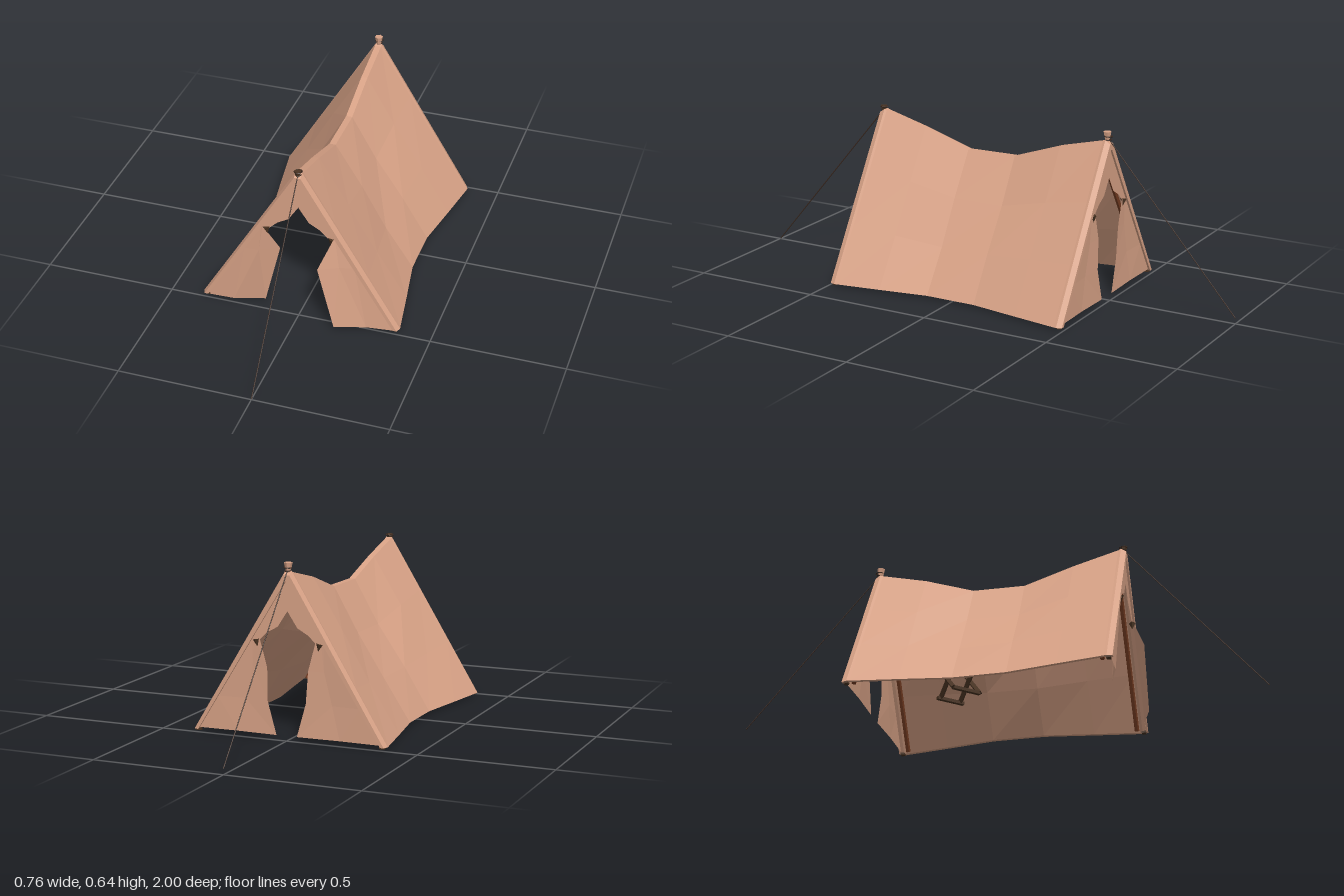
import * as THREE from 'three';

const mat = (color, side = THREE.FrontSide) => new THREE.MeshStandardMaterial({ color, flatShading: true, side });
const cloth = mat(0xd8a286);
const clothThin = mat(0xd8a286, THREE.DoubleSide);
const wood = mat(0x4a3423);
const poleWood = mat(0x7a4024);
const rope = mat(0x3d2a20);

function add(parent, name, geometry, material, x = 0, y = 0, z = 0) {
  const mesh = new THREE.Mesh(geometry, material);
  mesh.name = name;
  mesh.position.set(x, y, z);
  parent.add(mesh);
  return mesh;
}

// Round or square rod between two points
function rod(parent, name, a, b, r, material, sides = 6) {
  const from = new THREE.Vector3(...a), to = new THREE.Vector3(...b);
  const dir = to.clone().sub(from);
  const mesh = add(parent, name, new THREE.CylinderGeometry(r, r, dir.length(), sides), material);
  mesh.position.copy(from).add(to).multiplyScalar(0.5);
  mesh.quaternion.setFromUnitVectors(new THREE.Vector3(0, 1, 0), dir.normalize());
}

function indexed(points, index) {
  const g = new THREE.BufferGeometry();
  g.setAttribute('position', new THREE.Float32BufferAttribute(points, 3));
  g.setIndex(index);
  g.computeVertexNormals();
  return g;
}

// Sagging roof: closed inverted-V sections lofted from front to back
function roofGeometry() {
  // z, ridge height, half width, outer inset, inner depth
  const stations = [
    [0.495, 0.61, 0.379, 0.006, 0.018], [0.475, 0.612, 0.38, 0, 0.018],
    [0.465, 0.607, 0.378, 0, 0.012], [0.29, 0.56, 0.35, 0, 0.012],
    [0.1, 0.5, 0.318, 0, 0.012], [-0.1, 0.502, 0.318, 0, 0.012],
    [-0.29, 0.566, 0.35, 0, 0.012], [-0.465, 0.608, 0.378, 0, 0.012],
    [-0.475, 0.614, 0.38, 0, 0.018], [-0.495, 0.611, 0.379, 0.006, 0.018],
  ];
  const points = [], index = [], rows = 3;
  for (const [z, h, w, inset, depth] of stations) {
    const half = (side, d, u) => {
      const t = u / rows;
      // sag with slight unevenness, fading at the hems
      const uneven = 0.006 + 0.008 * Math.sin(9 * z + 2.5 * u + side);
      const sag = uneven * Math.sin(Math.PI * t) * Math.max(0, 1 - Math.abs(z) / 0.465);
      const x = THREE.MathUtils.lerp(d > 0.011 ? 0.004 : 0.012, w - d * 1.18, t) - sag * 0.85;
      points.push(side * x, THREE.MathUtils.lerp(h - d * 1.87, 0.01, t) - sag * 0.53, z);
    };
    for (let u = rows; u >= 0; u--) half(1, inset, u);
    for (let u = 0; u <= rows; u++) half(-1, inset, u);
    for (let u = rows; u >= 0; u--) half(-1, depth, u);
    for (let u = 0; u <= rows; u++) half(1, depth, u);
  }
  const n = 4 * (rows + 1), last = (stations.length - 1) * n;
  for (let i = 0; i < stations.length - 1; i++) {
    for (let j = 0; j < n; j++) {
      const k = (j + 1) % n;
      const a = i * n + j, b = i * n + k, c = b + n, d = a + n;
      index.push(a, d, c, a, c, b);
    }
  }
  // end caps join outer and inner edges
  for (let j = 0; j < n / 2 - 1; j++) {
    const a = j, b = j + 1, c = n - 2 - j, d = n - 1 - j;
    index.push(a, b, c, a, c, d);
    index.push(last + a, last + c, last + b, last + a, last + d, last + c);
  }
  return indexed(points, index);
}

// Cloth filling the peak above the doorway
function gableGeometry() {
  const lower = [[0.142, 0.36], [0.11, 0.36], [0.08, 0.388], [0.038, 0.412], [0, 0.47]];
  const right = lower.slice(0, 4).reverse().map(([x, y]) => [-x, y]);
  const outline = [[0, 0.585], ...lower, ...right];
  return new THREE.ShapeGeometry(new THREE.Shape(outline.map(([x, y]) => new THREE.Vector2(x, y))));
}

// Door flap: each row is [y, xs, zs] running from the roof edge to the free edge
function flapGeometry(side, rows) {
  const points = [], index = [], n = rows[0][1].length;
  for (const [y, xs, zs] of rows) xs.forEach((x, i) => points.push(side * x, y, zs[i]));
  for (let r = 0; r < rows.length - 1; r++) {
    for (let i = 0; i < n - 1; i++) {
      const a = r * n + i, b = a + 1, c = b + n, d = a + n;
      index.push(a, d, c, a, c, b);
    }
  }
  return indexed(points, index);
}

function frontRows(foldZ, freeZ) {
  return [
    [0.362, [0.142, 0.137, 0.132], [0.488, 0.489, 0.492]],
    [0.25, [0.21, 0.155, 0.085], [0.488, foldZ, freeZ]],
    [0.006, [0.361, 0.258, 0.146], [0.488, foldZ, freeZ]],
  ];
}

function backRows(shift) {
  return [
    [0.362, [0.142, 0.13, 0.108], [-0.487, -0.487, -0.488]],
    [0.26, [0.205, 0.14, 0.08], [-0.487, -0.484, -0.488]],
    [0.14, [0.28, 0.17, 0.08 - shift], [-0.487, -0.482, -0.487]],
    [0.016, [0.357, 0.2, 0.045 - shift], [-0.487, -0.484, -0.488]],
  ];
}

// Folding stool with crossed legs and a slatted seat, turned towards the corner
function createStool() {
  const stool = new THREE.Group();
  stool.name = 'foldingStool';
  for (const s of [-1, 1]) {
    const z = s * 0.055;
    rod(stool, 'crossedLeg', [-0.06, 0.008, z], [0.05, 0.122, z], 0.01, wood, 4);
    rod(stool, 'crossedLeg', [0.06, 0.008, z * 0.75], [-0.05, 0.122, z * 0.75], 0.01, wood, 4);
    add(stool, 'footRung', new THREE.BoxGeometry(0.014, 0.012, 0.11), wood, s * 0.058, 0.008, 0);
    add(stool, 'seatRail', new THREE.BoxGeometry(0.1, 0.012, 0.012), wood, 0, 0.119, z);
  }
  for (let i = 0; i < 4; i++) {
    add(stool, 'seatSlat', new THREE.BoxGeometry(0.022, 0.012, 0.16), wood, -0.041 + i * 0.0273, 0.129, 0);
  }
  stool.position.set(-0.128, 0.013, -0.125);
  stool.rotation.y = Math.PI / 4;
  return stool;
}

export function createModel() {
  const tent = new THREE.Group();
  tent.name = 'tent';
  add(tent, 'roof', roofGeometry(), cloth);

  // Door flaps
  add(tent, 'frontLeftFlap', flapGeometry(1, frontRows(0.5, 0.536)), clothThin);
  add(tent, 'frontRightFlap', flapGeometry(-1, frontRows(0.485, 0.45)), clothThin);
  add(tent, 'backLeftFlap', flapGeometry(1, backRows(0)), clothThin);
  add(tent, 'backRightFlap', flapGeometry(-1, backRows(0.01)), clothThin);

  for (const end of [-1, 1]) {
    const top = end > 0 ? 0.608 : 0.614;
    add(tent, end > 0 ? 'frontGable' : 'backGable', gableGeometry(), clothThin, 0, 0, end * 0.487);
    for (const side of [-1, 1]) {
      // Slanting poles inside the hem, with corner pegs and flap ties
      rod(tent, 'slantPole', [side * 0.35, 0.012, end * 0.455], [0, 0.565, end * 0.455], 0.009, poleWood);
      add(tent, 'cornerPeg', new THREE.BoxGeometry(0.02, 0.008, 0.016), wood, side * 0.362, 0.008, end * 0.48);
      const tie = add(tent, 'flapTie', new THREE.ConeGeometry(0.013, 0.028, 4), wood, side * 0.121, 0.347, end * 0.487);
      tie.rotation.set(Math.PI, 0, side * 0.2);
    }
    // Rope lashing at the peak
    for (let i = 0; i < 2; i++) {
      const ring = add(tent, 'peakLashing', new THREE.TorusGeometry(0.011 + i * 0.004, 0.002, 4, 8), rope,
        0, top + i * 0.012, end * 0.482);
      ring.rotation.set(Math.PI / 2, 0.12 * (i - 0.5), 0);
    }
    // Guy rope to the ground
    rod(tent, 'guyRope', [0, top, end * 0.485], [0, end > 0 ? 0.002 : 0.022, end * 0.999], 0.002, rope);
  }
  // Pole tips above the lashings
  add(tent, 'frontPoleTip', new THREE.CylinderGeometry(0.013, 0.007, 0.024, 6), wood, 0, 0.612, 0.485);
  add(tent, 'backPoleTip', new THREE.CylinderGeometry(0.016, 0.007, 0.04, 6), cloth, 0, 0.624, -0.477);

  tent.add(createStool());
  return tent;
}
